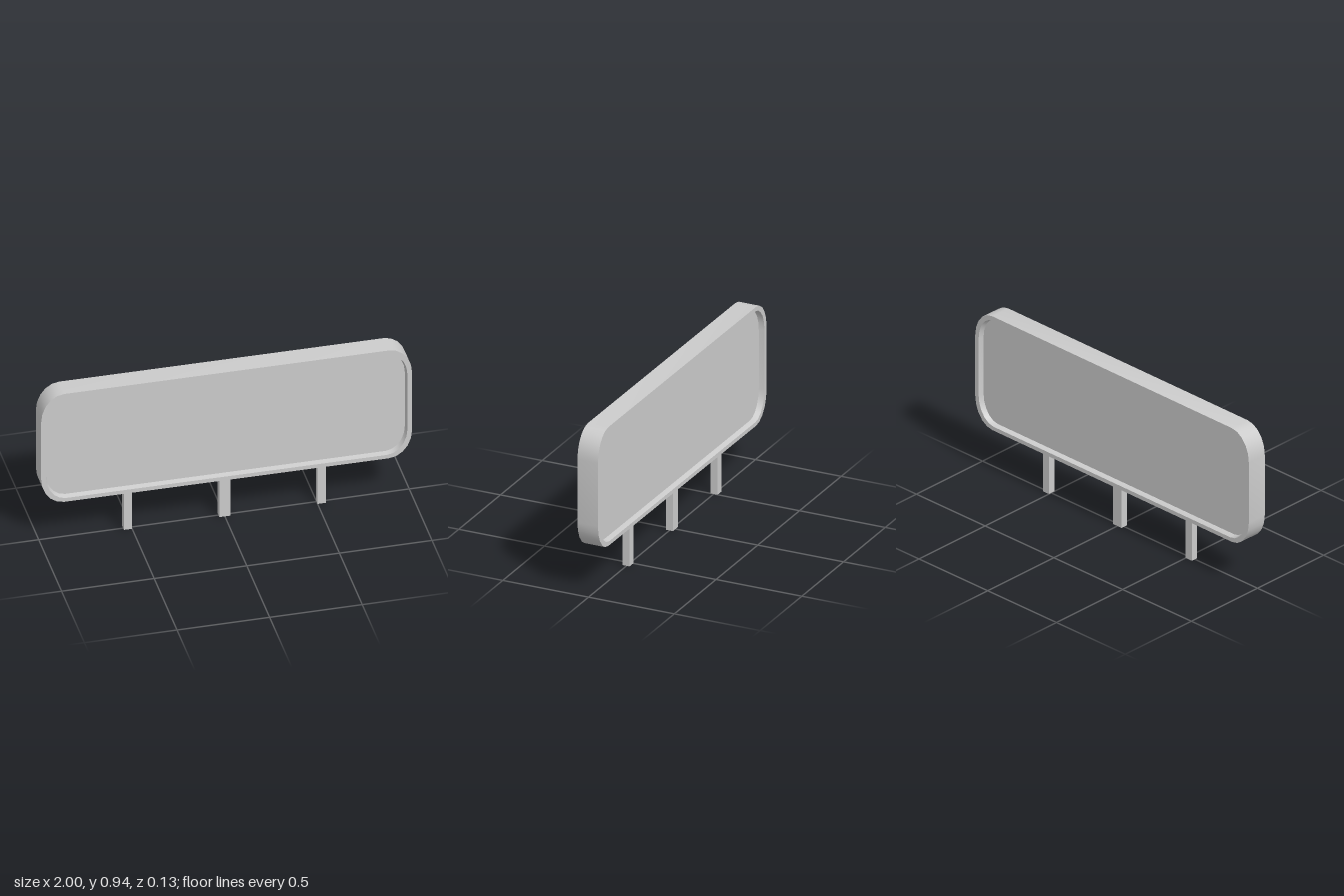
import * as THREE from 'three';
import { toCreasedNormals } from 'three/addons/utils/BufferGeometryUtils.js';

const material = new THREE.MeshStandardMaterial({ color: 0xcccccc });
const MID_Y = 0.595;

// Rounded outline with elliptical corners, counter-clockwise seen from the front
function outline(halfW, halfH, rx, ry, steps = 5) {
  const points = [];
  for (let corner = 0; corner < 4; corner++) {
    const sx = corner === 0 || corner === 3 ? 1 : -1;
    const sy = corner < 2 ? 1 : -1;
    for (let i = 0; i <= steps; i++) {
      const a = (corner + i / steps) * Math.PI / 2;
      points.push([sx * (halfW - rx) + rx * Math.cos(a), sy * (halfH - ry) + ry * Math.sin(a)]);
    }
  }
  return points;
}

// Joins outlines placed at given depths, listed from front to back
function loft(rings, capped) {
  const n = rings[0].points.length;
  const positions = [];
  const index = [];
  rings.forEach(({ points, z }) => points.forEach(([x, y]) => positions.push(x, y, z)));
  for (let r = 0; r < rings.length - 1; r++) {
    for (let i = 0; i < n; i++) {
      const a = r * n + i, b = r * n + (i + 1) % n;
      index.push(a, a + n, b, b, a + n, b + n);
    }
  }
  if (capped) {
    const last = (rings.length - 1) * n;
    for (let i = 1; i < n - 1; i++) {
      index.push(0, i, i + 1, last, last + i + 1, last + i);
    }
  }
  const geometry = new THREE.BufferGeometry();
  geometry.setAttribute('position', new THREE.Float32BufferAttribute(positions, 3));
  geometry.setIndex(index);
  return toCreasedNormals(geometry, Math.PI / 5);
}

function addMesh(parent, name, geometry, x, y, z) {
  const mesh = new THREE.Mesh(geometry, material);
  mesh.name = name;
  mesh.position.set(x, y, z);
  parent.add(mesh);
  return mesh;
}

export function createModel() {
  const model = new THREE.Group();
  model.name = 'signboard';
  const sign = new THREE.Group();
  sign.name = 'sign';
  sign.rotation.y = -0.005;
  model.add(sign);

  const outer = outline(1, 0.34, 0.125, 0.16);
  const lip = outline(0.975, 0.317, 0.11, 0.147);
  const inner = outline(0.968, 0.311, 0.105, 0.143);
  const depth = 0.06, recess = 0.03;

  // Frame with a sloping lip down to the panel on both faces
  addMesh(sign, 'frame', loft([
    { points: inner, z: depth - recess },
    { points: lip, z: depth },
    { points: outer, z: depth },
    { points: outer, z: -depth },
    { points: lip, z: -depth },
    { points: inner, z: recess - depth },
  ], false), 0, MID_Y, 0);

  // Recessed panel
  addMesh(sign, 'panel', loft([
    { points: inner, z: depth - recess },
    { points: inner, z: recess - depth },
  ], true), 0, MID_Y, 0);

  // Three posts, the middle one wider
  const postHeight = 0.256;
  [['rightPost', -0.522, 0.045], ['middlePost', 0, 0.06], ['leftPost', 0.522, 0.045]].forEach(([name, x, width]) => {
    addMesh(sign, name, new THREE.BoxGeometry(width, postHeight, 0.04), x, postHeight / 2, 0);
  });

  return model;
}
